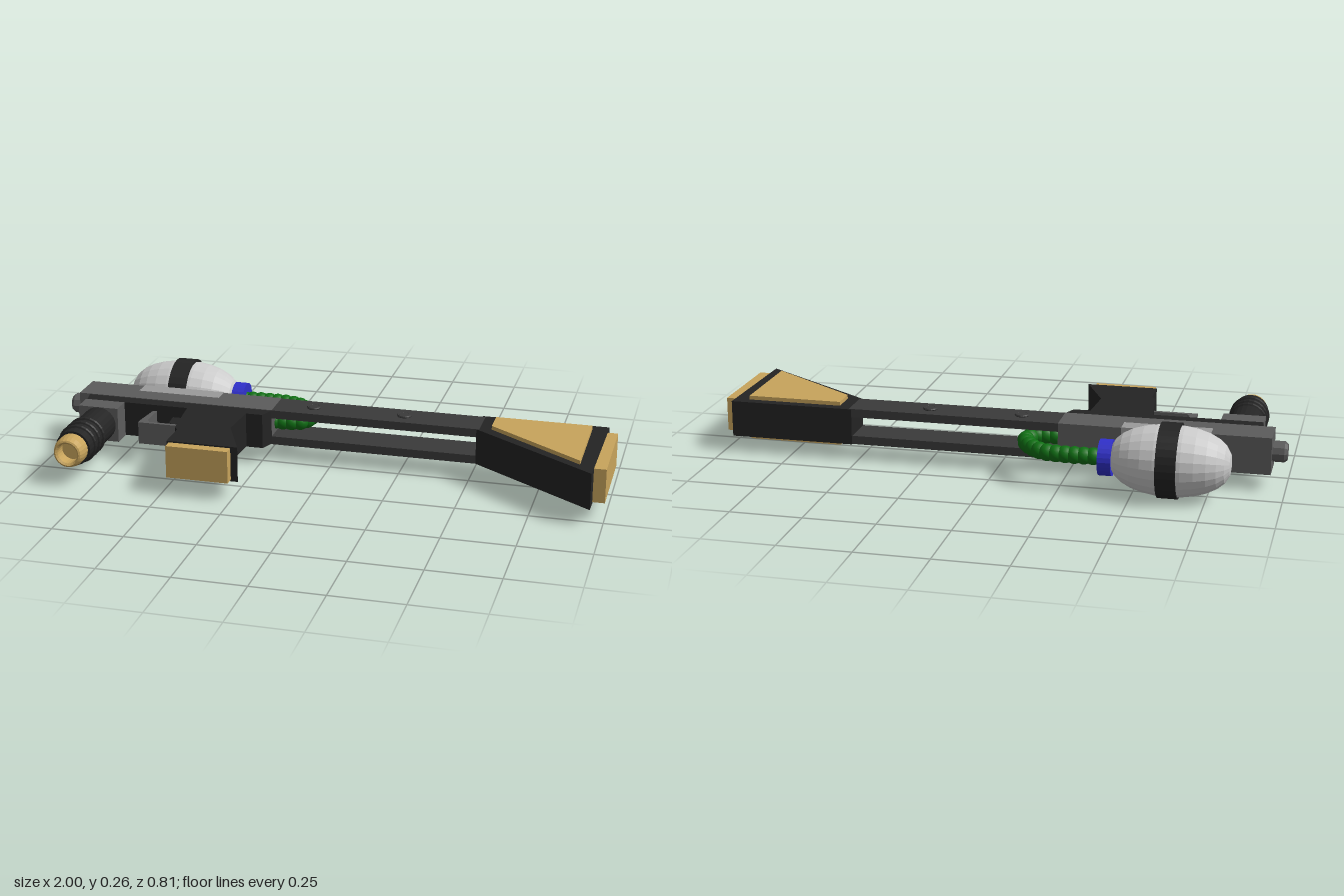
import * as THREE from 'three';

const GOLD = 0xc8a45c, BLACK = 0x242424, RAIL = 0x3a3a3a, GREY = 0x5c5c5c;
const PANEL = 0x9a9a9a, STEEL = 0xcccccc, BLUE = 0x3030cc, GREEN = 0x107014;
const MID = 0.123; // height of the flat body's centre plane

export function createModel() {
  const model = new THREE.Group();

  const add = (name, geometry, color, smooth = false) => {
    const material = new THREE.MeshStandardMaterial({ color, flatShading: !smooth });
    const mesh = new THREE.Mesh(geometry, material);
    mesh.name = name;
    model.add(mesh);
    return mesh;
  };

  // Box given by its extents
  const box = (name, color, x0, x1, y0, y1, z0, z1) => {
    const mesh = add(name, new THREE.BoxGeometry(x1 - x0, y1 - y0, z1 - z0), color);
    mesh.position.set((x0 + x1) / 2, (y0 + y1) / 2, (z0 + z1) / 2);
    return mesh;
  };

  // Flat outline in x, z with a thickness in y; optional hole
  const plate = (name, color, points, y0, y1, hole) => {
    const toVectors = (list) => list.map(([x, z]) => new THREE.Vector2(x, z));
    const shape = new THREE.Shape(toVectors(points));
    if (hole) shape.holes.push(new THREE.Path(toVectors(hole)));
    const geometry = new THREE.ExtrudeGeometry(shape, { depth: y1 - y0, bevelEnabled: false });
    geometry.rotateX(Math.PI / 2).translate(0, y1, 0);
    return add(name, geometry, color);
  };

  // Turned part: profile of [radius, position], along x or z
  const turned = (name, color, profile, axis, x, y, z, sides = 20, smooth = false) => {
    const geometry = new THREE.LatheGeometry(profile.map(([r, h]) => new THREE.Vector2(r, h)), sides);
    if (axis === 'x') geometry.rotateZ(-Math.PI / 2);
    if (axis === 'z') geometry.rotateX(Math.PI / 2);
    const mesh = add(name, geometry, color, smooth);
    mesh.position.set(x, y, z);
    return mesh;
  };
  const rod = (r, a, b) => [[0, a], [r, a], [r, b], [0, b]];

  // Receiver, muzzle and lower frame
  box('receiver', GREY, -0.95, -0.22, 0.058, 0.188, -0.15, -0.02);
  box('tankSaddle', PANEL, -0.745, -0.44, 0.056, 0.19, -0.152, -0.09);
  turned('muzzle', GREY, [[0, 0], [0.028, 0], [0.036, 0.01], [0.036, 0.06], [0, 0.06]], 'x', -1, MID, -0.085, 10);
  plate('lowerFrame', BLACK, [[-0.91, -0.02], [-0.22, -0.02], [-0.24, 0.03], [-0.9, 0.03]], 0.06, 0.186);

  // Twin rails with screws
  for (const [side, y0, y1] of [[-1, 0.058, 0.088], [1, 0.157, 0.187]]) {
    box('rail', RAIL, -0.22, 0.53, y0, y1, -0.148, -0.02);
    for (const x of [-0.08, 0.25]) {
      const y = side > 0 ? 0.187 : 0.058;
      turned('screwHead', RAIL, rod(0.018, -0.007, 0.007), 'y', x, y, -0.085, 16);
      const rim = add('screwRim', new THREE.TorusGeometry(0.021, 0.005, 6, 20), RAIL);
      rim.rotation.x = Math.PI / 2;
      rim.position.set(x, y + side * 0.003, -0.085);
    }
  }

  // Stock with side inlays and butt pad
  plate('stock', BLACK, [[0.52, -0.154], [0.965, -0.154], [0.957, 0.285], [0.52, -0.02]], 0.058, 0.187);
  const inlay = [[0.572, -0.12], [0.91, -0.12], [0.91, 0.215], [0.572, -0.03]];
  plate('stockInlay', GOLD, inlay, 0.187, 0.201);
  plate('stockInlay', GOLD, inlay, 0.042, 0.058);
  box('buttPad', GOLD, 0.957, 1, 0.064, 0.184, -0.11, 0.23);

  // Rear grip
  plate('rearGrip', BLACK, [[-0.52, 0.03], [-0.3, 0.03], [-0.31, 0.18], [-0.232, 0.352],
    [-0.485, 0.352], [-0.485, 0.24], [-0.5, 0.22]], 0.06, 0.186);
  box('gripBase', GOLD, -0.477, -0.257, 0.066, 0.181, 0.352, 0.388);

  // Trigger and its guard
  plate('triggerGuard', GREY, [[-0.65, 0.03], [-0.635, 0.03], [-0.637, 0.12], [-0.625, 0.138],
    [-0.49, 0.138], [-0.49, 0.152], [-0.662, 0.152], [-0.662, 0.13]], 0.083, 0.163);
  plate('trigger', BLACK, [[-0.575, 0.03], [-0.53, 0.03], [-0.54, 0.075], [-0.545, 0.11],
    [-0.57, 0.085]], 0.1, 0.146);

  // Front grip with ridges and a hollow tip
  box('frontGripMount', GREY, -0.905, -0.758, 0.06, 0.186, 0.03, 0.102);
  turned('frontGrip', BLACK, rod(0.063, 0.1, 0.35), 'z', -0.83, MID, 0, 24);
  for (const z of [0.225, 0.265, 0.305]) {
    const ridge = add('gripRidge', new THREE.TorusGeometry(0.062, 0.009, 8, 24), BLACK);
    ridge.position.set(-0.83, MID, z);
  }
  turned('gripTip', GOLD, [[0.055, 0.345], [0.055, 0.385], [0.049, 0.405], [0.043, 0.408],
    [0.036, 0.402], [0.036, 0.36], [0, 0.36]], 'z', -0.83, MID, 0, 24);

  // Tank, rounded off towards both ends
  const tankProfile = [];
  for (let i = 0; i <= 14; i++) {
    const a = -Math.PI / 2 + (Math.PI * i) / 14;
    tankProfile.push([0.122 * Math.pow(Math.max(0, Math.cos(a)), 0.8), 0.205 * Math.sin(a)]);
  }
  turned('tank', STEEL, tankProfile, 'x', -0.628, 0.127, -0.277, 22);
  turned('tankBand', BLACK, [[0.112, -0.034], [0.128, -0.034], [0.128, 0.034], [0.112, 0.034]], 'x', -0.627, 0.128, -0.277, 32);
  turned('tankNeck', BLUE, rod(0.062, -0.025, 0.02), 'x', -0.41, 0.122, -0.277, 24);

  // Ribbed hose looping back between the rails into the receiver
  const path = new THREE.CatmullRomCurve3([[-0.4, -0.277], [-0.28, -0.28], [-0.19, -0.265], [-0.135, -0.215],
    [-0.11, -0.155], [-0.135, -0.1], [-0.23, -0.085]].map(([x, z]) => new THREE.Vector3(x, 0.123, z)));
  const ribs = 16;
  for (let i = 0; i <= ribs; i++) {
    const rib = add('hoseRib', new THREE.SphereGeometry(0.03, 14, 10), GREEN, true);
    rib.position.copy(path.getPointAt(i / ribs));
  }
  add('hoseCore', new THREE.TubeGeometry(path, 32, 0.02, 10), GREEN, true);

  return model;
}
